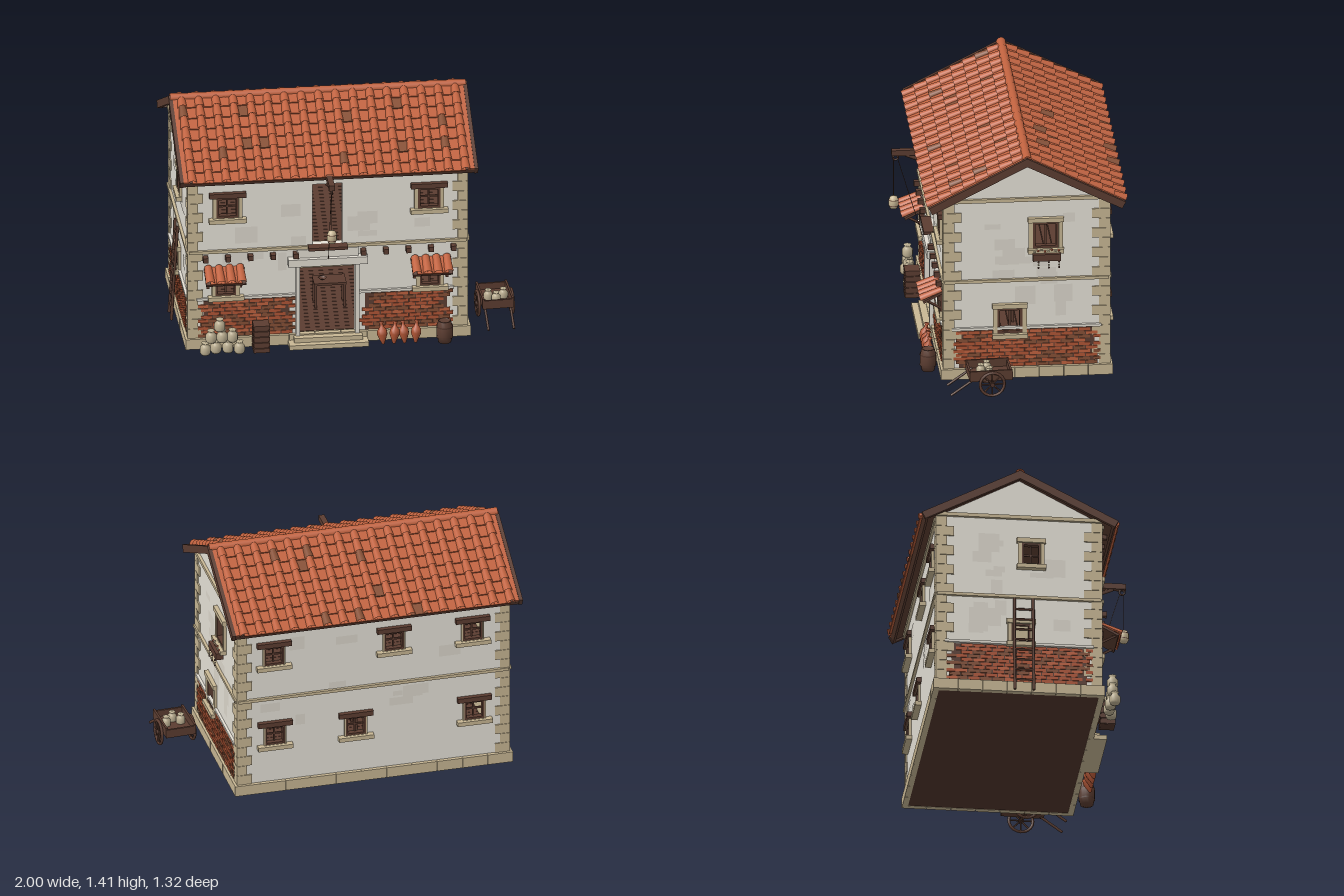
import * as THREE from 'three';
import { mergeGeometries } from 'three/addons/utils/BufferGeometryUtils.js';

const mat = (name, color) => {
  const m = new THREE.MeshStandardMaterial({ color, side: THREE.DoubleSide });
  m.name = name;
  return m;
};
const M = {
  plaster: mat('plaster', 0xe6e2d8), patch: mat('worn plaster', 0xdcd7cc),
  stone: mat('tan stone', 0xc8b794), pale: mat('pale stone', 0xe2ddd2),
  wood: mat('dark wood', 0x5c3d31), under: mat('floor shadow brown', 0x50352b),
  tile: mat('roof tile', 0xc0623f), oldTile: mat('weathered tile', 0x865036),
  brick: mat('red brick', 0xb05535), cream: mat('cream pottery', 0xbcaf91),
};
let seed = 7;
const rnd = () => (seed = (seed * 16807) % 2147483647) / 2147483647;

function add(parent, name, geo, material, x = 0, y = 0, z = 0) {
  const m = new THREE.Mesh(geo, material);
  m.name = name;
  m.position.set(x, y, z);
  parent.add(m);
  return m;
}
const box = (p, name, m, w, h, d, x, y, z) => add(p, name, new THREE.BoxGeometry(w, h, d), m, x, y, z);
function group(parent, name, x = 0, y = 0, z = 0, ry = 0) {
  const g = new THREE.Group();
  g.name = name;
  g.position.set(x, y, z);
  g.rotation.y = ry;
  parent.add(g);
  return g;
}
function bar(p, name, m, a, b, r, sides = 6) {
  const A = new THREE.Vector3(...a), B = new THREE.Vector3(...b), d = B.clone().sub(A);
  const mesh = add(p, name, new THREE.CylinderGeometry(r, r, d.length(), sides), m);
  mesh.position.copy(A).lerp(B, 0.5);
  mesh.quaternion.setFromUnitVectors(new THREE.Vector3(0, 1, 0), d.normalize());
}
const lathe = (p, name, m, pts, x, y, z, n = 12) =>
  add(p, name, new THREE.LatheGeometry(pts.map(q => new THREE.Vector2(...q)), n), m, x, y, z);

// Collects boxes by material and adds one merged mesh for each
function batch(p, name) {
  const lists = new Map();
  return {
    put(m, geo) { if (!lists.has(m)) lists.set(m, []); lists.get(m).push(geo); },
    box(m, w, h, d, x, y, z) { this.put(m, new THREE.BoxGeometry(w, h, d).translate(x, y, z)); },
    done() { lists.forEach((l, m) => add(p, name, mergeGeometries(l), m)); },
  };
}

// Wall with real openings, tan inner lining and faded plaster patches; outward is local +z
const T = 0.045;
function wall(g, outline, holes) {
  const shape = new THREE.Shape(outline.map(q => new THREE.Vector2(...q)));
  for (const [u, v, w, h] of holes) {
    const a = u - w / 2, b = u + w / 2;
    shape.holes.push(new THREE.Path([[a, v], [a, v + h], [b, v + h], [b, v]].map(q => new THREE.Vector2(...q))));
  }
  const slab = (depth, z) => new THREE.ExtrudeGeometry(shape, { depth, bevelEnabled: false }).translate(0, 0, z);
  add(g, 'wall', slab(T - 0.008, -T + 0.008), M.plaster);
  add(g, 'wallLining', slab(0.008, -T), M.stone);
  const patches = batch(g, 'plasterPatches'), u0 = outline[0][0], u1 = outline[1][0];
  for (let i = 0; i < 16; i++) {
    const w = 0.05 + rnd() * 0.09, h = 0.03 + rnd() * 0.09;
    const u = u0 + 0.18 + rnd() * (u1 - u0 - 0.36), v = 0.4 + rnd() * 0.6;
    if (holes.every(k => Math.abs(k[0] - u) > (k[2] + w) / 2 + 0.01 || Math.abs(k[1] + k[3] / 2 - v) > (k[3] + h) / 2 + 0.01))
      patches.put(M.patch, new THREE.PlaneGeometry(w, h).translate(u, v, 0.001 + i * 0.00004));
  }
  patches.done();
}

// Window: stone surround, wooden frame, bars, sill and optional wooden lintel
function windowSet(g, [u, v, w, h], { lintel = true, surround = 0.022, cross = true, sill = 0.09, frame = 0.012 } = {}) {
  const k = group(g, 'window', u, v + h / 2, 0), b = batch(k, 'windowParts');
  const ring = (m, W, H, t, d, z) => {
    for (const s of [-1, 1]) {
      b.box(m, t, H + 2 * t, d, s * (W + t) / 2, 0, z);
      b.box(m, W, t, d, 0, s * (H + t) / 2, z);
    }
  };
  ring(M.stone, w, h, surround, 0.024, 0.004);
  ring(M.wood, w - 2 * frame, h - 2 * frame, frame, 0.034, -0.004);
  b.box(M.wood, 0.01, h, 0.01, 0, 0, -0.015);
  if (cross) b.box(M.wood, w, 0.01, 0.01, 0, 0, -0.015);
  b.box(M.stone, w + sill, 0.026, 0.045, 0, -h / 2 - 0.015, 0.014);
  if (lintel) b.box(M.wood, w + 0.085, 0.03, 0.036, 0, h / 2 + 0.016, 0.01);
  else b.box(M.stone, w + sill, 0.028, 0.034, 0, h / 2 + 0.014, 0.008);
  b.done();
}

// Staggered brick panel with ragged ends and a thin stone course above
function bricks(g, u0, u1) {
  box(g, 'mortar', M.wood, u1 - u0 - 0.07, 0.232, 0.006, (u0 + u1) / 2, 0.182, 0.003);
  const b = batch(g, 'bricks'), n = Math.round((u1 - u0) / 0.07), s = (u1 - u0) / n;
  for (let r = 0; r < 10; r++) for (let i = 0; i < n; i++) {
    const u = Math.max(u0 + (i + (r % 2 ? 0.72 : 0.3)) * s, u0 + s / 2);
    if ((i === 0 || i === n - 1) && rnd() < 0.3) continue;
    const q = rnd();
    b.box(q < 0.56 ? M.brick : q < 0.72 ? M.tile : M.oldTile, Math.min(s - 0.007, 2 * (u1 - u)), 0.0185, 0.012, u, 0.079 + r * 0.0233, 0.004);
  }
  b.done();
  box(g, 'brickCourse', M.pale, u1 - u0 + 0.01, 0.016, 0.02, (u0 + u1) / 2, 0.312, 0.006);
}

// Field of barrel tiles over flat pans, running down local +z
function tileField(p, name, pitch, cols, rows, len, old) {
  const b = batch(p, name), s = len / rows, x0 = -pitch * (cols - 1) / 2;
  const cover = new THREE.CylinderGeometry(0.028, 0.022, s + 0.012, 8, 1, true, Math.PI / 2, Math.PI).rotateX(Math.PI / 2 - 0.1);
  const pan = new THREE.BoxGeometry(pitch - 0.001, 0.008, s + 0.01).rotateX(-0.1);
  const pick = () => (rnd() < old ? M.oldTile : M.tile);
  for (let r = 0; r < rows; r++) for (let c = 0; c < cols; c++) {
    const x = x0 + c * pitch, z = (r + 0.5) * s;
    b.put(pick(), cover.clone().translate(x, 0.006, z));
    if (c < cols - 1) b.put(pick(), pan.clone().translate(x + pitch / 2, 0.007, z));
  }
  b.done();
}

const JAR = [[0, 0], [0.026, 0], [0.032, 0.012], [0.032, 0.045], [0.02, 0.058], [0.018, 0.066], [0.023, 0.074], [0, 0.074]];
const CASK = [[0, 0], [0.038, 0], [0.048, 0.045], [0.048, 0.09], [0.038, 0.135], [0.033, 0.135], [0.033, 0.128], [0, 0.128]];

export function createModel() {
  const root = new THREE.Group();
  root.name = 'house';
  const X0 = -0.935, X1 = 0.69, Z0 = -0.55, Z1 = 0.409, CX = -0.125, CZ = -0.07;
  const front = group(root, 'frontSide', 0, 0, Z1), right = group(root, 'leftHandSide', X1, 0, 0, Math.PI / 2);
  const back = group(root, 'backSide', 0, 0, Z0, Math.PI), left = group(root, 'rightHandSide', X0, 0, 0, -Math.PI / 2);

  // Walls and openings: [centre, bottom, width, height]
  const fUp = [[-0.71, 0.828, 0.13, 0.13], [0.47, 0.828, 0.13, 0.13]];
  const fLow = [[-0.72, 0.332, 0.12, 0.11], [0.475, 0.332, 0.12, 0.11]];
  const door = [-0.127, 0.05, 0.325, 0.46], loft = [-0.125, 0.625, 0.175, 0.385];
  const bWin = [[0.717, 0.835, 0.12, 0.12], [0.245, 0.835, 0.12, 0.12], [-0.476, 0.835, 0.12, 0.12],
    [0.727, 0.31, 0.12, 0.12], [0.015, 0.305, 0.12, 0.12], [-0.47, 0.31, 0.12, 0.12]];
  const rUp = [0.182, 0.812, 0.15, 0.165], rLow = [-0.028, 0.28, 0.145, 0.158], lUp = [0, 0.82, 0.11, 0.14];
  const lLow = [-0.06, 0.32, 0.11, 0.12];
  const rect = (a, b) => [[a, 0.02], [b, 0.02], [b, 1.115], [a, 1.115]];
  wall(front, rect(X0, X1), [...fUp, ...fLow, door, loft]);
  wall(back, rect(-X1, -X0), bWin);
  const gable = (a, b, peak) => [[a, 0.02], [b, 0.02], [b, 1.133], [peak, 1.36], [a, 1.133]];
  wall(right, gable(-Z1 + T, -Z0 - T, -CZ), [rUp, rLow]);
  wall(left, gable(Z0 + T, Z1 - T, CZ), [lUp]);
  fUp.forEach(w => windowSet(front, w, { frame: 0.014 }));
  fLow.forEach(w => windowSet(front, w));
  bWin.forEach(w => windowSet(back, w, { surround: 0.008 }));
  [rUp, rLow].forEach(w => windowSet(right, w, { lintel: false, surround: 0.026, cross: false, sill: 0.06, frame: 0.015 }));
  windowSet(left, lUp, { lintel: false, sill: 0.06 });
  windowSet(left, lLow, { lintel: false, sill: 0.06 });
  box(left, 'closedPane', M.stone, 0.11, 0.12, 0.003, -0.06, 0.38, 0.001);

  // Brick bases, string courses and cornices
  bricks(front, -0.885, -0.312);
  bricks(front, 0.06, 0.61);
  bricks(right, -0.36, 0.5);
  bricks(left, -0.5, 0.36);
  for (const [g, a, b] of [[front, X0, X1], [back, -X1, -X0], [right, -Z1, -Z0], [left, Z0, Z1]]) {
    const mid = (a + b) / 2;
    for (const [p, q] of g === front ? [[a, -0.24], [-0.01, b]] : [[a, b]])
      box(g, 'stringCourse', M.stone, q - p, 0.018, 0.03, (p + q) / 2, 0.613, 0.002);
    box(g, 'cornice', M.stone, b - a, 0.022, 0.03, mid, g === front || g === back ? 1.09 : 1.122, 0.002);
    // Plinth blocks
    const n = Math.round((b - a) / 0.145), s = (b - a + 0.044) / n, k = batch(g, 'plinth');
    for (let i = 0; i < n; i++) k.box(M.stone, s - 0.002, 0.064, 0.034, a - 0.022 + (i + 0.5) * s, 0.032, 0.005);
    k.done();
  }

  // Alternating corner stones
  const q = batch(root, 'cornerStones');
  for (const sx of [-1, 1]) for (const sz of [-1, 1]) for (let i = 0; i < 17; i++) {
    const w = i % 2 ? 0.06 : 0.09, d = i % 2 ? 0.107 : 0.065;
    q.box(M.stone, w, 0.0595, d, (sx > 0 ? X1 + 0.008 : X0 - 0.008) - sx * w / 2, 0.095 + i * 0.0615, (sz > 0 ? Z1 + 0.008 : Z0 - 0.008) - sz * d / 2);
  }
  q.done();

  // Floors with planks
  box(root, 'underside', M.under, X1 - X0 - 0.02, 0.028, Z1 - Z0 - 0.02, (X0 + X1) / 2, 0.016, (Z0 + Z1) / 2);
  for (const y of [0.045, 0.6]) {
    const f = batch(root, 'floorPlanks');
    f.box(M.under, 1.53, 0.012, 0.865, CX, y - 0.008, CZ);
    for (let i = 0; i < 18; i++) f.box(M.wood, 1.53, 0.012, 0.045, CX, y, -0.478 + i * 0.048);
    f.done();
  }
  // Table inside
  const table = group(root, 'table', -0.065, 0.05, 0);
  box(table, 'tableTop', M.wood, 0.19, 0.014, 0.12, 0, 0.15, 0);
  for (const x of [-0.085, 0.085]) for (const z of [-0.05, 0.05]) box(table, 'tableLeg', M.wood, 0.014, 0.145, 0.014, x, 0.072, z);
  lathe(table, 'bowl', M.wood, [[0, 0], [0.014, 0], [0.025, 0.012]], -0.04, 0.157, 0);

  // Entrance: jambs, lintel, steps, loft threshold
  for (const x of [-0.3, 0.047]) box(front, 'doorJamb', M.pale, 0.024, 0.46, 0.06, x, 0.28, 0);
  box(front, 'doorLintel', M.pale, 0.465, 0.046, 0.075, -0.125, 0.529, 0.012);
  box(front, 'loftSill', M.pale, 0.36, 0.052, 0.04, -0.125, 0.578, 0.004);
  box(front, 'loftThreshold', M.wood, 0.23, 0.018, 0.06, -0.125, 0.617, 0.028);
  box(front, 'lowerStep', M.stone, 0.465, 0.028, 0.1, -0.125, 0.014, 0.05);
  box(front, 'upperStep', M.stone, 0.4, 0.028, 0.075, -0.125, 0.042, 0.025);

  // Beam ends and rafter ends
  for (let i = 0; i < 12; i++) {
    const x = -0.84 + i * 0.132;
    if (i !== 5 && i !== 6) box(front, 'beamEnd', M.wood, 0.03, 0.03, 0.05, x, 0.573, 0.018);
    box(front, 'rafterEnd', M.wood, 0.022, 0.026, 0.05, x, 1.068, 0.02);
  }

  // Roof: two tiled slopes, bargeboards, fascia, ridge
  const A = 0.474, L = 0.633;
  for (const s of [0, 1]) {
    const turn = group(root, s ? 'backRoof' : 'frontRoof', CX, 1.382, CZ, s * Math.PI);
    const slope = group(turn, 'slope');
    slope.rotation.x = A;
    box(slope, 'roofBoards', M.wood, 1.72, 0.02, L, 0, -0.01, L / 2);
    box(slope, 'fascia', M.wood, 1.72, 0.034, 0.016, 0, -0.013, L - 0.008);
    for (const e of [-1, 1]) box(slope, 'bargeboard', M.wood, 0.022, 0.046, L + 0.01, e * 0.862, -0.007, L / 2);
    tileField(slope, 'roofTiles', 0.1, 17, 8, L + 0.008, 0.022);
    for (const e of [-1, 1]) box(slope, 'edgeTiles', M.tile, 0.05, 0.01, L, e * 0.838, 0.006, L / 2);
  }
  const ridge = batch(root, 'ridgeTiles');
  for (let i = 0; i < 16; i++)
    ridge.put(M.tile, new THREE.CylinderGeometry(0.025, 0.028, 0.112, 10, 1, true, Math.PI / 2, Math.PI)
      .rotateX(Math.PI / 2).rotateY(Math.PI / 2).translate(CX - 0.81 + i * 0.108, 1.385, CZ));
  ridge.done();
  for (const e of [-1, 1]) { // wooden caps closing the gable peaks
    const cap = box(root, 'peakCap', M.wood, 0.022, 0.026, 0.026, CX + e * 0.862, 1.382, CZ);
    cap.rotation.x = Math.PI / 4;
  }

  // Tiled awnings over the lower front windows
  for (const x of [-0.73, 0.48]) {
    const a = group(front, 'awning', x, 0.51, 0.008), top = group(a, 'awningRoof');
    top.rotation.x = 0.5;
    box(top, 'awningBoards', M.wood, 0.235, 0.014, 0.125, 0, -0.007, 0.062);
    tileField(top, 'awningTiles', 0.062, 4, 1, 0.126, 0);
    for (const s of [-0.095, 0.095]) {
      bar(a, 'awningBrace', M.wood, [s, -0.115, -0.005], [s, -0.055, 0.1], 0.008, 4);
      box(a, 'awningPost', M.wood, 0.016, 0.12, 0.014, s, -0.07, 0);
    }
  }

  // Hoist with pulley, ropes and cask
  const h = group(root, 'hoist', CX, 0, 0);
  box(h, 'hoistBeam', M.wood, 0.034, 0.034, 0.26, 0, 1.088, 0.515);
  bar(h, 'hoistBrace', M.wood, [0, 1.0, 0.4], [0, 1.075, 0.57], 0.012, 4);
  add(h, 'pulley', new THREE.TorusGeometry(0.015, 0.006, 6, 14).rotateY(Math.PI / 2), M.under, 0, 1.056, 0.622);
  bar(h, 'liftRope', M.under, [0, 1.056, 0.633], [0, 0.81, 0.633], 0.002, 5);
  bar(h, 'pullRope', M.under, [0, 1.05, 0.61], [0, 0.555, 0.465], 0.002, 5);
  lathe(h, 'hoistedCask', M.stone, [[0, 0], [0.022, 0], [0.029, 0.02], [0.029, 0.05], [0.021, 0.07], [0, 0.078]], 0, 0.737, 0.633);
  for (const y of [0.755, 0.79]) add(h, 'caskHoop', new THREE.CylinderGeometry(0.0295, 0.0295, 0.005, 12, 1, true), M.wood, 0, y, 0.633);

  // Flower box under the upper side window
  const fb = group(right, 'flowerBox', 0.185, 0.768, 0.026);
  box(fb, 'planter', M.wood, 0.165, 0.042, 0.045, 0, 0, 0.01);
  for (let i = 0; i < 8; i++) {
    const u = -0.07 + i * 0.02;
    add(fb, 'flower', new THREE.IcosahedronGeometry(0.008), i % 2 ? M.brick : M.cream, u, 0.032 + (i % 3) * 0.005, 0.01);
    if (i % 3 === 1) for (let j = 0; j < 3; j++) add(fb, 'trailingLeaf', new THREE.IcosahedronGeometry(0.007), j % 2 ? M.cream : M.wood, u, -0.025 - j * 0.017, 0.036);
  }

  // Goods along the front: jars, crate, amphorae, barrel
  for (const [x, y, z] of [[-0.85, 0, 0.5], [-0.785, 0, 0.48], [-0.715, 0, 0.48], [-0.65, 0, 0.5],
    [-0.815, 0.072, 0.49], [-0.75, 0.072, 0.49], [-0.69, 0.072, 0.49], [-0.765, 0.145, 0.495]]) lathe(root, 'jar', M.cream, JAR, x, y, z);
  const crate = group(root, 'crate', -0.523, 0, 0.49);
  box(crate, 'crateCore', M.under, 0.082, 0.16, 0.076, 0, 0.084, 0);
  for (let i = 0; i < 5; i++) box(crate, 'crateSlat', M.wood, 0.094, 0.026, 0.09, 0, 0.018 + i * 0.036, 0);
  for (let i = 0; i < 4; i++) {
    const a = lathe(root, 'amphora', M.brick, [[0, 0], [0.008, 0.004], [0.03, 0.06], [0.028, 0.085], [0.011, 0.108], [0.01, 0.125], [0.016, 0.135], [0, 0.135]], 0.192 + i * 0.063, 0.002, 0.495);
    a.rotation.set(-0.22, 0, i % 2 ? -0.08 : 0.06);
  }
  lathe(root, 'barrel', M.wood, CASK, 0.552, 0, 0.492, 14);
  for (const y of [0.035, 0.1]) add(root, 'barrelHoop', new THREE.CylinderGeometry(0.0485, 0.0485, 0.009, 14, 1, true), M.under, 0.552, y, 0.492);

  // Ladder leaning on the side wall
  const ladder = group(root, 'ladder', 0, 0, -0.045);
  for (const z of [-0.055, 0.055]) bar(ladder, 'ladderRail', M.wood, [-0.99, 0, z], [-0.953, 0.6, z], 0.009, 4);
  for (let i = 1; i < 9; i++) {
    const x = -0.99 + 0.0041 * i, y = i * 0.066;
    bar(ladder, 'ladderRung', M.wood, [x, y, -0.055], [x, y, 0.055], 0.007, 5);
  }

  // Handcart with jars
  const cart = group(root, 'handcart', 0.883, 0, 0.165, 0.05);
  box(cart, 'cartBed', M.wood, 0.18, 0.014, 0.25, 0, 0.106, 0);
  for (const s of [-1, 1]) {
    box(cart, 'cartSide', M.wood, 0.012, 0.055, 0.25, s * 0.086, 0.136, 0);
    box(cart, 'cartEnd', M.wood, 0.18, 0.045, 0.012, 0, 0.13, s * 0.12);
    bar(cart, 'cartHandle', M.wood, [s * 0.075, 0.115, 0.09], [s * 0.075, 0.015, 0.235], 0.008, 5);
    const wheel = group(cart, 'wheel', s * 0.1, 0.082, -0.005, Math.PI / 2);
    add(wheel, 'rim', new THREE.TorusGeometry(0.071, 0.009, 6, 20), M.wood);
    add(wheel, 'hub', new THREE.CylinderGeometry(0.014, 0.014, 0.03, 8).rotateX(Math.PI / 2), M.under);
    for (let i = 0; i < 8; i++) {
      const t = i * Math.PI / 4;
      bar(wheel, 'spoke', M.wood, [0, 0, 0], [0.07 * Math.cos(t), 0.07 * Math.sin(t), 0], 0.005, 4);
    }
  }
  bar(cart, 'axle', M.under, [-0.1, 0.082, -0.005], [0.1, 0.082, -0.005], 0.008);
  for (const [x, z] of [[-0.04, 0.01], [0.05, 0.005], [0, 0.05]]) lathe(cart, 'cartJar', M.cream, JAR, x, 0.108, z).scale.setScalar(0.85);
  return root;
}
